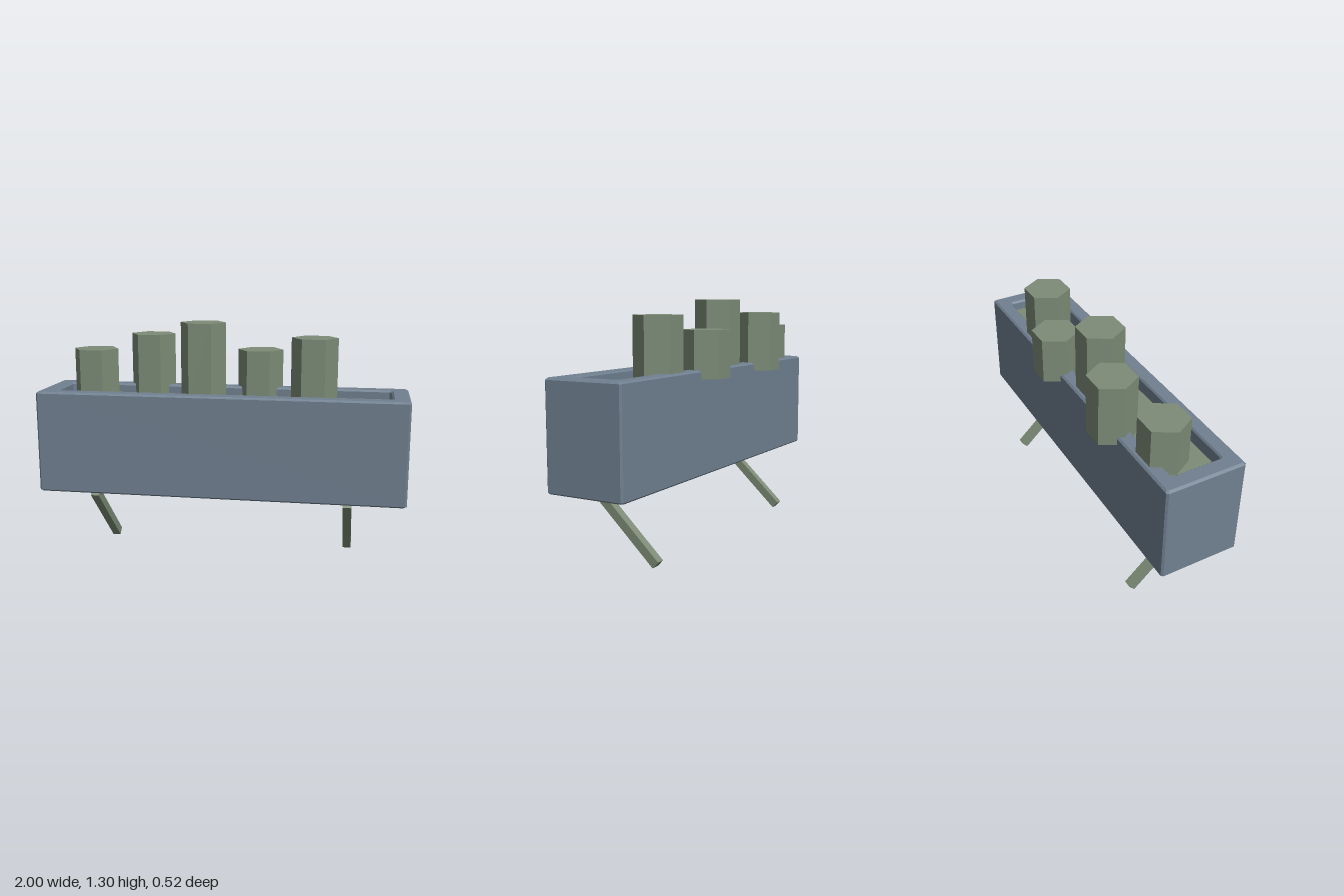
import * as THREE from 'three';

const slate = new THREE.MeshStandardMaterial({ name: 'slateBlue', color: 0x708090 });
const sage = new THREE.MeshStandardMaterial({ name: 'sageGreen', color: 0x7d8c77 });

function add(parent, name, geometry, material, x = 0, y = 0, z = 0) {
  const mesh = new THREE.Mesh(geometry, material);
  mesh.name = name;
  mesh.position.set(x, y, z);
  parent.add(mesh);
  return mesh;
}

// Rectangle with clipped corners, at height y
function ring(w, d, y, c) {
  const x = w / 2, z = d / 2;
  return [[x, z - c], [x - c, z], [c - x, z], [-x, z - c], [-x, c - z], [c - x, -z], [x - c, -z], [x, c - z]]
    .map(([px, pz]) => [px, y, pz]);
}

// Joins a run of rings into one faceted skin, capped at both ends
function loft(rings) {
  const pos = [];
  const tri = (...pts) => pts.forEach((p) => pos.push(...p));
  const n = rings[0].length;
  for (let r = 0; r < rings.length - 1; r++) {
    for (let i = 0; i < n; i++) {
      const j = (i + 1) % n, a = rings[r], b = rings[r + 1];
      tri(a[i], b[i], b[j]);
      tri(a[i], b[j], a[j]);
    }
  }
  const first = rings[0], last = rings[rings.length - 1];
  for (let i = 1; i < n - 1; i++) {
    tri(first[0], first[i], first[i + 1]);
    tri(last[0], last[i + 1], last[i]);
  }
  const geometry = new THREE.BufferGeometry();
  geometry.setAttribute('position', new THREE.Float32BufferAttribute(pos, 3));
  geometry.computeVertexNormals();
  return geometry;
}

export function createModel() {
  const model = new THREE.Group();
  model.name = 'planter';

  // Hollow trough: outer wall, bevelled rim, inner wall and floor
  const trough = loft([
    ring(1.98, 0.425, 0.385, 0.01),
    ring(2, 0.44, 0.393, 0.01),
    ring(2, 0.44, 0.933, 0.01),
    ring(1.975, 0.42, 0.943, 0.01),
    ring(1.835, 0.29, 0.943, 0.01),
    ring(1.815, 0.275, 0.933, 0.01),
    ring(1.815, 0.275, 0.46, 0.01),
  ]);
  add(model, 'trough', trough, slate, 0, 0, 0.037);

  // Soil bed, slightly smaller than the opening
  add(model, 'soil', new THREE.BoxGeometry(1.79, 0.06, 0.25), sage, 0, 0.865, 0.027);

  // Six-sided plants in two staggered rows
  const base = 0.896;
  [1.15, 1.23, 1.305, 1.15, 1.23].forEach((top, i) => {
    const geometry = new THREE.CylinderGeometry(0.127, 0.127, top - base, 6).toNonIndexed();
    geometry.rotateY(Math.PI / 6);
    geometry.computeVertexNormals();
    add(model, `plant${i + 1}`, geometry, sage, -0.746 + i * 0.3085, (top + base) / 2, i % 2 ? -0.153 : -0.05);
  });

  // Slanted brackets running down and back from the front of the base
  for (const [name, x] of [['leftBracket', 0.693], ['rightBracket', -0.693]]) {
    const bracket = add(model, name, new THREE.BoxGeometry(0.045, 0.047, 0.527), sage, x, 0.202, 0.02);
    bracket.rotation.x = -Math.atan2(0.36, 0.385);
  }

  return model;
}
